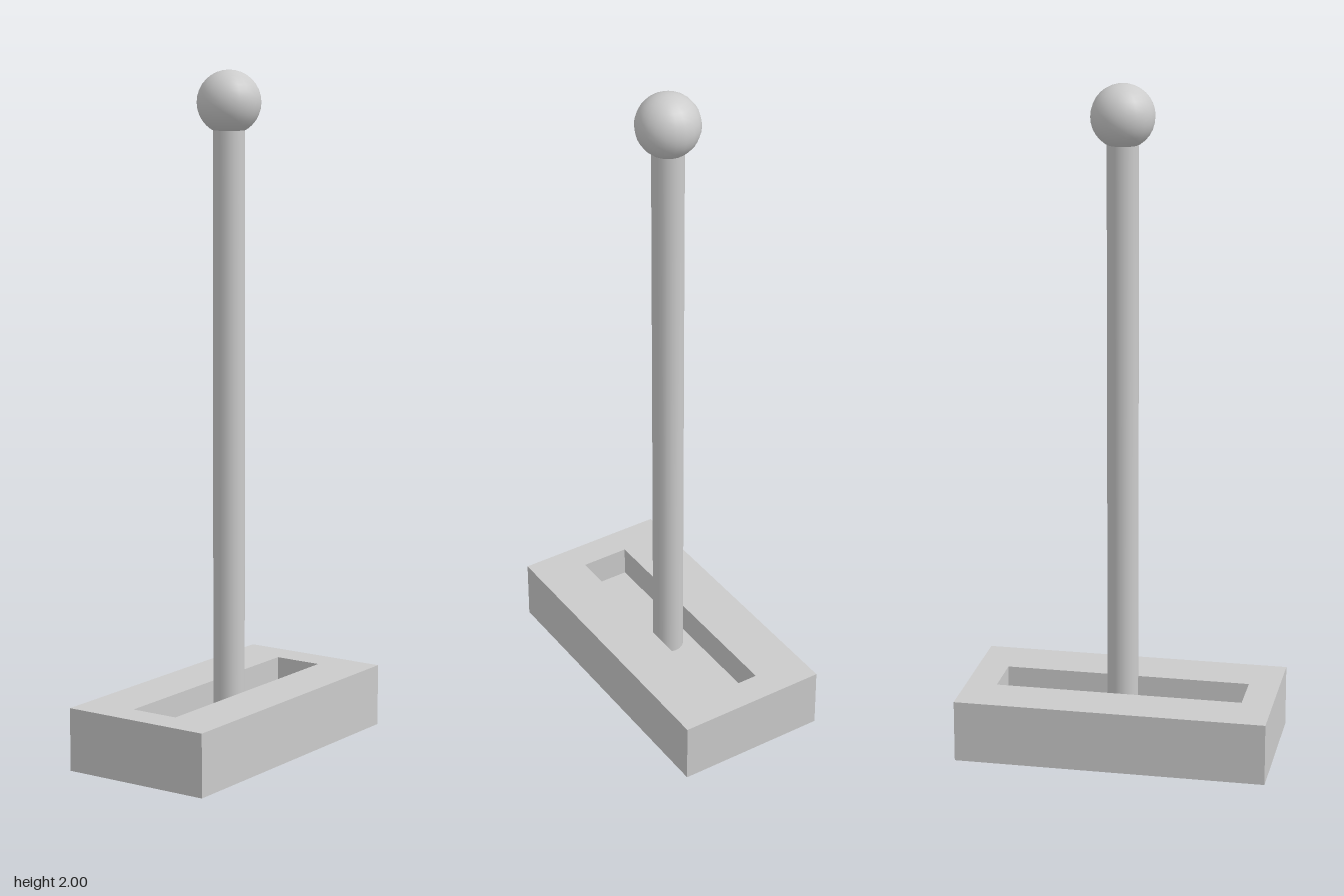
import * as THREE from 'three';

const R = 0.093; // knob radius, the unit for all other sizes

export function createModel() {
  const model = new THREE.Group();
  const material = new THREE.MeshStandardMaterial({ color: 0xcccccc });
  const add = (name, geometry, y) => {
    const mesh = new THREE.Mesh(geometry, material);
    mesh.name = name;
    mesh.position.y = y;
    model.add(mesh);
  };
  const rectangle = (Path, w, d) => new Path([
    new THREE.Vector2(-w / 2, -d / 2), new THREE.Vector2(w / 2, -d / 2),
    new THREE.Vector2(w / 2, d / 2), new THREE.Vector2(-w / 2, d / 2),
  ]);

  // Base block with a long slot
  const outline = rectangle(THREE.Shape, 5 * R, 10 * R);
  outline.holes.push(rectangle(THREE.Path, 1.6 * R, 8 * R));
  const base = new THREE.ExtrudeGeometry(outline, { depth: 2 * R, bevelEnabled: false });
  base.rotateX(-Math.PI / 2);
  add('base', base, 0);

  // Floor of the slot, filling its lower half
  add('slotFloor', new THREE.BoxGeometry(1.6 * R, R, 8 * R), R / 2);

  // Lever rising from the slot floor into the knob
  const top = 2 - 1.8 * R;
  add('lever', new THREE.CylinderGeometry(R / 2, R / 2, top - R, 20, 1, true), (top + R) / 2);

  // Round knob
  add('knob', new THREE.SphereGeometry(R, 20, 16), 2 - R);

  return model;
}
